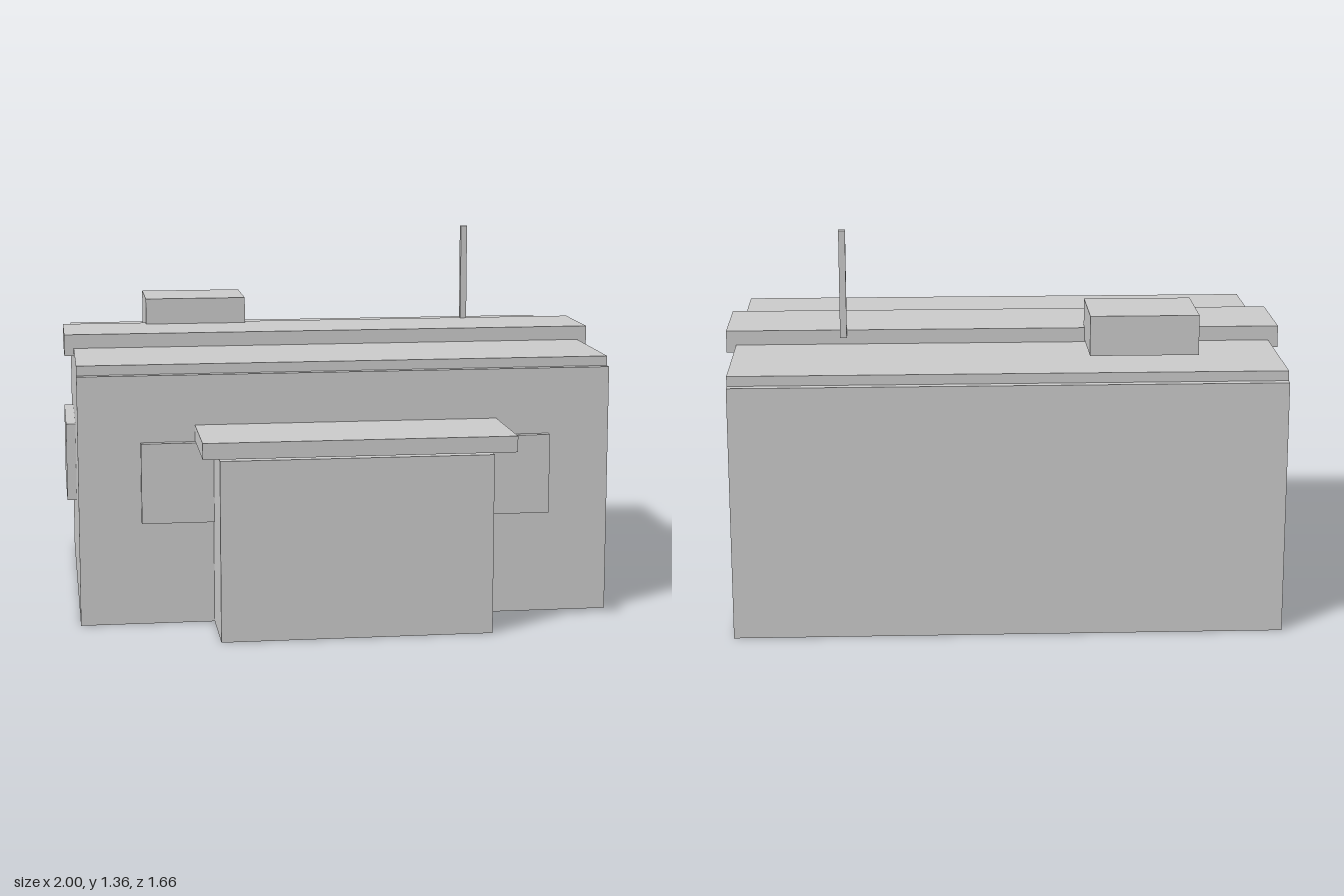
import * as THREE from 'three';

const material = new THREE.MeshStandardMaterial({ color: 0xcccccc, flatShading: true });

// Box given by its [min, max] range along each axis
function block(name, [x0, x1], [y0, y1], [z0, z1]) {
  const mesh = new THREE.Mesh(new THREE.BoxGeometry(x1 - x0, y1 - y0, z1 - z0), material);
  mesh.position.set((x0 + x1) / 2, (y0 + y1) / 2, (z0 + z1) / 2);
  mesh.name = name;
  return mesh;
}

// Main hall: side profile (z, y) with a small step at the front and back roof edges
function hall() {
  const profile = new THREE.Shape([
    [-0.83, 0], [0.46, 0], [0.46, 0.905], [0.43, 0.905],
    [0.43, 0.94], [-0.8, 0.94], [-0.8, 0.905], [-0.83, 0.905],
  ].map(([z, y]) => new THREE.Vector2(-z, y)));
  const width = 1.93;
  const geometry = new THREE.ExtrudeGeometry(profile, { depth: width, bevelEnabled: false });
  geometry.translate(0, 0, -width / 2);
  geometry.rotateY(Math.PI / 2); // profile -z becomes world z, depth becomes x
  const mesh = new THREE.Mesh(geometry, material);
  mesh.name = 'mainHall';
  return mesh;
}

export function createModel() {
  const model = new THREE.Group();
  model.name = 'building';
  model.add(hall());

  // Roof fittings
  model.add(block('roofBeam', [-1, 1], [0.912, 0.992], [-0.347, -0.025]));
  model.add(block('roofUnit', [-0.68, -0.295], [0.947, 1.09], [-0.59, -0.302]));
  model.add(block('antenna', [0.566, 0.59], [0.965, 1.357], [-0.358, -0.334]));

  // Entrance block with a canopy just above it
  model.add(block('entranceBlock', [-0.483, 0.483], [0, 0.645], [0.46, 0.75]));
  model.add(block('entranceCanopy', [-0.548, 0.548], [0.667, 0.724], [0.45, 0.83]));

  // Windows: a mirrored pair at the front and one on the -x wall
  for (const s of [-1, 1]) {
    const xs = [s * 0.42, s * 0.742].sort((a, b) => a - b);
    model.add(block(s > 0 ? 'frontWindowLeft' : 'frontWindowRight', xs, [0.374, 0.664], [0.458, 0.488]));
  }
  model.add(block('sideWindow', [-1, -0.963], [0.374, 0.664], [-0.415, 0.035]));

  return model;
}
